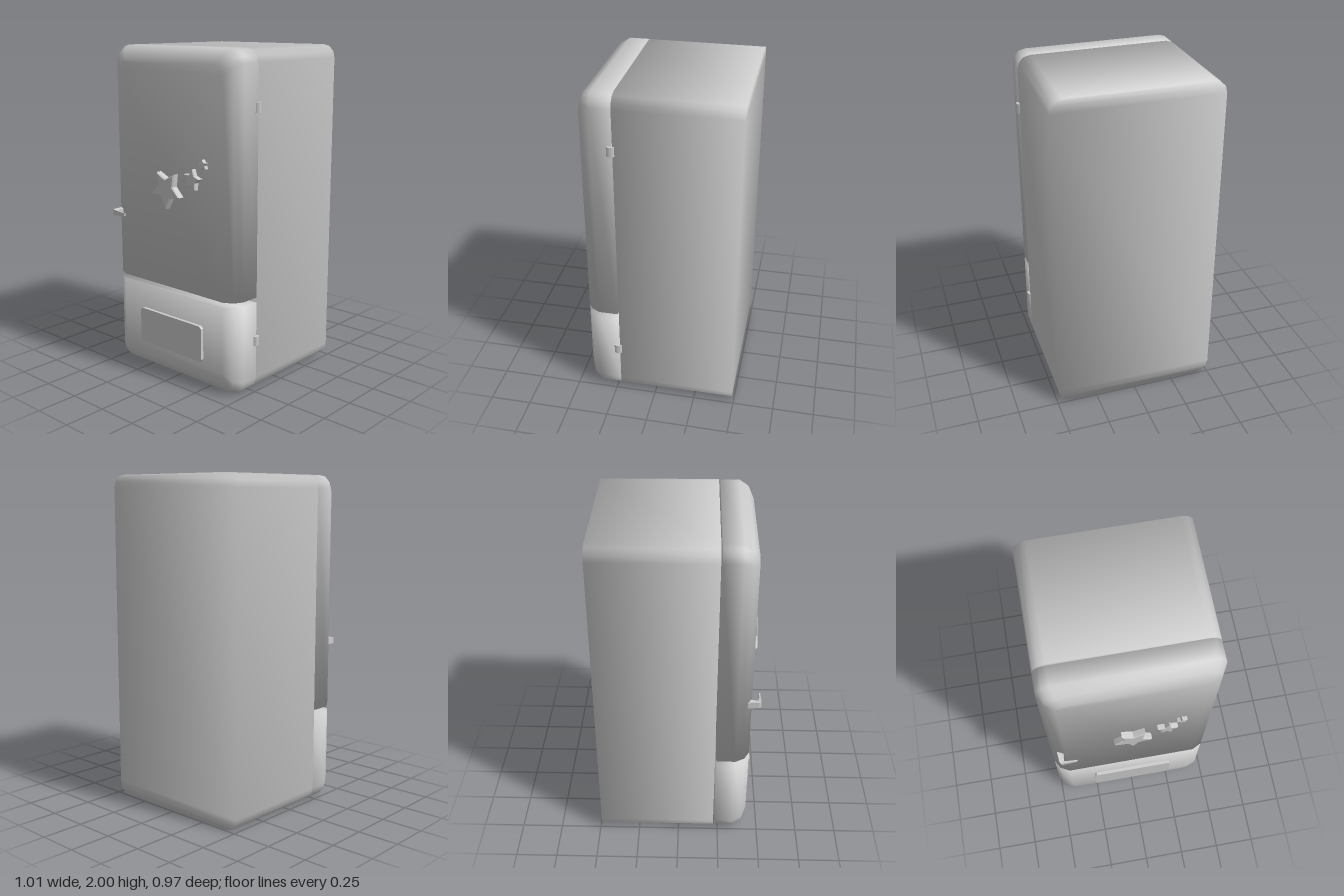
import * as THREE from 'three';

const CX = -0.008, HALF = 0.498, RADIUS = 0.078;

// Outline at depth z: right side going up, then the mirrored left side going down
function ring(y0, y1, roundLow, roundHigh, inset, z) {
  const w = HALF - inset, r = RADIUS - inset * 0.3, steps = 3, right = [];
  const low = roundLow ? y0 + inset : y0, high = roundHigh ? y1 - inset : y1;
  const arc = (cy, start) => {
    for (let i = 0; i <= steps; i++) {
      const a = start + (i / steps) * Math.PI / 2;
      right.push([w - r + r * Math.cos(a), cy + r * Math.sin(a)]);
    }
  };
  if (roundLow) arc(low + r, -Math.PI / 2); else right.push([w, low]);
  if (roundHigh) arc(high - r, 0); else right.push([w, high]);
  const left = right.map(([x, y]) => [-x, y]).reverse();
  return [...right, ...left].map(([x, y]) => new THREE.Vector3(x + CX, y, z));
}

// Soft normals over every edge, weighted by corner angle
function softNormals(geometry, points, index) {
  const normals = points.map(() => new THREE.Vector3());
  const e1 = new THREE.Vector3(), e2 = new THREE.Vector3();
  for (let t = 0; t < index.length; t += 3) {
    for (let k = 0; k < 3; k++) {
      const p = index[t + k];
      e1.subVectors(points[index[t + (k + 1) % 3]], points[p]);
      e2.subVectors(points[index[t + (k + 2) % 3]], points[p]);
      const angle = e1.angleTo(e2);
      normals[p].addScaledVector(e1.cross(e2).normalize(), angle);
    }
  }
  const flat = normals.flatMap((n) => n.normalize().toArray());
  geometry.setAttribute('normal', new THREE.Float32BufferAttribute(flat, 3));
}

// Closed solid through outlines ordered from back to front
function loft(rings) {
  const n = rings[0].length, points = rings.flat(), index = [];
  const quad = (a, b, c, d) => index.push(a, b, c, a, c, d);
  for (let k = 0; k < rings.length - 1; k++) {
    for (let j = 0; j < n; j++) {
      const a = k * n + j, b = k * n + (j + 1) % n;
      quad(a, b, b + n, a + n);
    }
  }
  const f = (rings.length - 1) * n;
  for (let i = 0; i < n / 2 - 1; i++) {
    quad(f + i, f + i + 1, f + n - 2 - i, f + n - 1 - i);
    quad(n - 1 - i, n - 2 - i, i + 1, i);
  }
  const g = new THREE.BufferGeometry().setFromPoints(points);
  g.setIndex(index);
  softNormals(g, points, index);
  return g;
}

// Door panel with a two-step softened front edge
function panel(y0, y1, roundLow, roundHigh) {
  const steps = [[0, 0.23], [0, 0.345], [0.03, 0.4], [0.088, 0.43]];
  return loft(steps.map(([inset, z]) => ring(y0, y1, roundLow, roundHigh, inset, z)));
}

function starShape(radius, inner, turn) {
  const pts = [];
  for (let i = 0; i < 10; i++) {
    const a = turn + i * Math.PI / 5, r = i % 2 ? radius * inner : radius;
    pts.push(new THREE.Vector2(r * Math.cos(a), r * Math.sin(a)));
  }
  return new THREE.Shape(pts);
}

export function createModel() {
  const model = new THREE.Group();
  model.name = 'refrigerator';
  const grey = new THREE.MeshStandardMaterial({ color: 0xcccccc });
  grey.name = 'light grey';
  const add = (name, geometry, x = 0, y = 0, z = 0) => {
    const mesh = new THREE.Mesh(geometry, grey);
    mesh.name = name;
    mesh.position.set(x, y, z);
    model.add(mesh);
    return mesh;
  };

  // Cabinet and the two doors
  add('cabinet', loft([-0.49, 0.222].map((z) => ring(0, 2, true, true, 0, z))));
  add('upperDoor', panel(0.58, 2, false, true));
  add('lowerDoor', panel(0, 0.548, true, false));

  // Hinges on the left side
  for (const y of [0.315, 1.68]) {
    const hinge = add('hinge', new THREE.CylinderGeometry(0.026, 0.026, 0.058, 6), 0.485, y, 0.232);
    hinge.rotation.y = Math.PI / 6;
    hinge.scale.x = 0.85;
  }

  // Small catches in the gap behind the upper door
  add('catch', new THREE.BoxGeometry(0.24, 0.04, 0.012), -0.145, 0.98, 0.226);
  add('catch', new THREE.BoxGeometry(0.13, 0.07, 0.012), 0.28, 1.5, 0.226);

  // Hooked handle: plan outline, tapered in height towards the free end
  const outline = [[-0.47, 0.39], [-0.428, 0.39], [-0.436, 0.466], [-0.4, 0.471],
    [-0.352, 0.473], [-0.362, 0.481], [-0.455, 0.483], [-0.464, 0.47]];
  const handle = new THREE.ExtrudeGeometry(
    new THREE.Shape(outline.map(([x, z]) => new THREE.Vector2(x, z))),
    { depth: 0.038, bevelEnabled: false });
  handle.translate(0, 0, -0.019).rotateX(Math.PI / 2);
  const pos = handle.attributes.position;
  for (let i = 0; i < pos.count; i++) {
    const t = THREE.MathUtils.clamp((pos.getX(i) + 0.46) / 0.04, 0, 1);
    if (pos.getZ(i) > 0.46) pos.setY(i, pos.getY(i) * (1 - 0.5 * t));
  }
  handle.computeVertexNormals();
  add('handle', handle, 0, 0.98, 0);

  // Star ornaments: x, y, radius, front z, turn
  const stars = [
    [-0.01, 1.185, 0.12, 0.47, -Math.PI / 2],
    [0.19, 1.265, 0.065, 0.46, Math.PI / 2 - 0.15],
    [0.275, 1.36, 0.031, 0.454, Math.PI / 2 + 0.15],
  ];
  for (const [x, y, radius, front, turn] of stars) {
    const bevel = radius * 0.06;
    const geometry = new THREE.ExtrudeGeometry(starShape(radius * 0.9, 0.5, turn), {
      depth: front - 0.425 - bevel, bevelThickness: bevel, bevelSize: bevel, bevelSegments: 1,
    });
    add('starOrnament', geometry, x, y, 0.425);
  }

  // Plate on the lower door
  const w = 0.256, h = 0.11, c = 0.014;
  const corners = [[w - c, -h], [w, c - h], [w, h - c], [w - c, h],
    [c - w, h], [-w, h - c], [-w, c - h], [c - w, -h]];
  const plate = new THREE.Shape(corners.map(([x, y]) => new THREE.Vector2(x, y)));
  add('lowerDoorPlate', new THREE.ExtrudeGeometry(plate, { depth: 0.025, bevelEnabled: false }),
    -0.004, 0.288, 0.425);

  return model;
}
